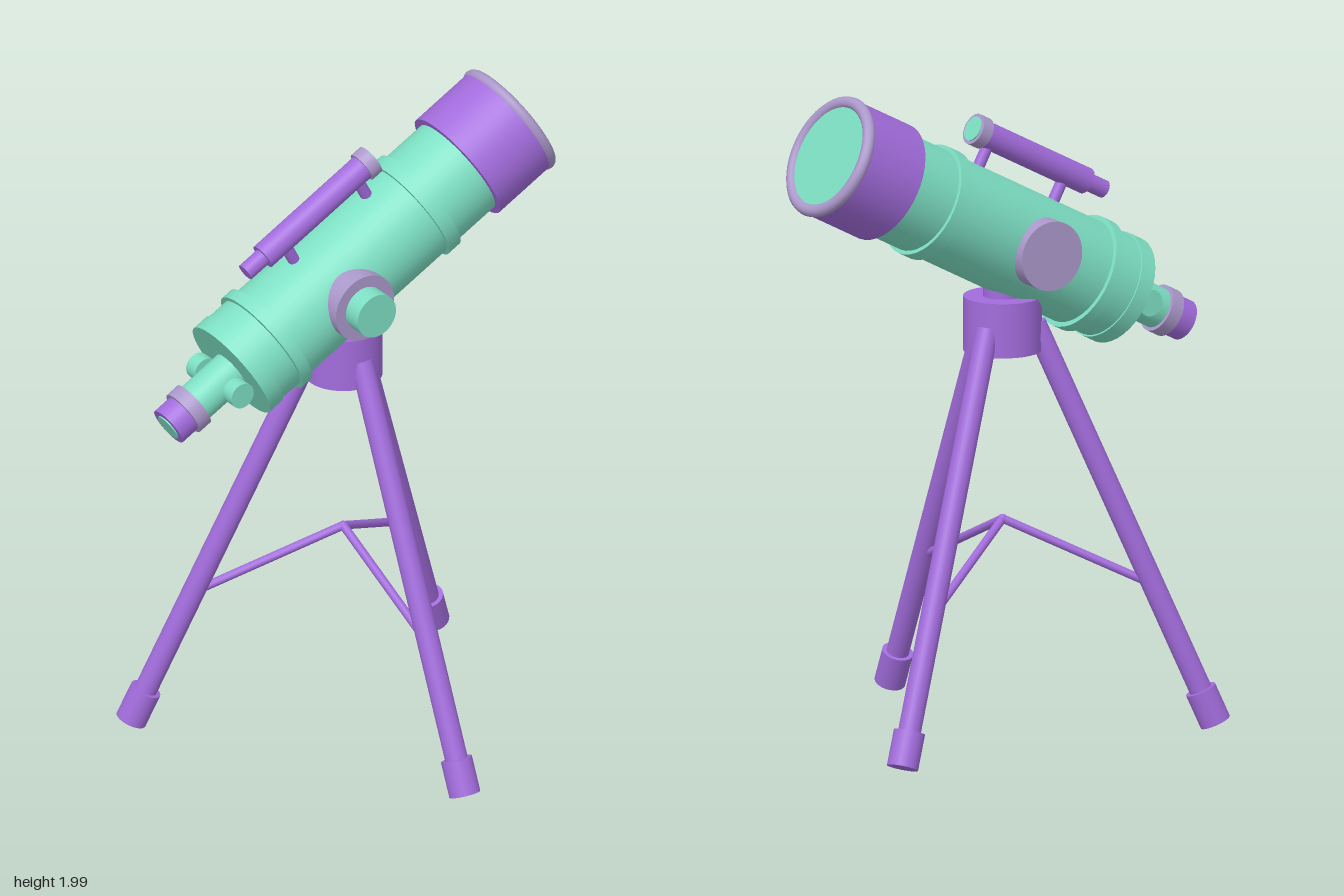
import * as THREE from 'three';

const mat = (name, color) => Object.assign(new THREE.MeshStandardMaterial({ color }), { name });

export function createModel() {
  const teal = mat('mint green', 0x7ddfc3);
  const purple = mat('purple', 0xa26cdc);
  const lavender = mat('pale lavender', 0xab98cb);
  const model = new THREE.Group();
  model.name = 'telescope';

  const add = (parent, name, geometry, material) => {
    const mesh = new THREE.Mesh(geometry, material);
    mesh.name = name;
    parent.add(mesh);
    return mesh;
  };
  // Closed cylinder between two points
  const rod = (parent, name, a, b, radius, material, sides = 32) => {
    const start = new THREE.Vector3(...a), end = new THREE.Vector3(...b);
    const dir = end.clone().sub(start);
    const mesh = add(parent, name, new THREE.CylinderGeometry(radius, radius, dir.length(), sides), material);
    mesh.position.copy(start).add(end).multiplyScalar(0.5);
    mesh.quaternion.setFromUnitVectors(new THREE.Vector3(0, 1, 0), dir.normalize());
    return mesh;
  };

  // Tripod, centred under the hub
  const tripod = new THREE.Group();
  tripod.name = 'tripod';
  tripod.position.set(-0.025, 0, -0.157);
  model.add(tripod);
  rod(tripod, 'hub', [0, 1.16, 0], [0, 1.325, 0], 0.117, purple);
  rod(tripod, 'mountPost', [0, 1.3, 0], [0, 1.42, 0], 0.058, purple);
  const footR = 0.63, footY = 0.02, topR = 0.095, topY = 1.24;
  for (let i = 0; i < 3; i++) {
    const angle = Math.PI / 2 + i * Math.PI * 2 / 3;
    // Point on the leg's centre line, t = 0 at the foot and 1 at the hub
    const onLeg = (t) => {
      const r = footR + (topR - footR) * t;
      return [r * Math.cos(angle), footY + (topY - footY) * t, r * Math.sin(angle)];
    };
    rod(tripod, 'leg', onLeg(0.02), onLeg(1), 0.034, purple, 24);
    rod(tripod, 'foot', onLeg(0), onLeg(0.082), 0.047, purple, 24);
    rod(tripod, 'brace', [0, 0.645, 0], onLeg(0.345), 0.013, purple, 12);
  }
  add(tripod, 'braceJoint', new THREE.SphereGeometry(0.014, 12, 8), purple).position.y = 0.645;

  // Optical assembly: local x runs along the tube, origin at the pivot
  const scope = new THREE.Group();
  scope.name = 'opticalTube';
  scope.position.set(-0.077, 1.476, -0.16);
  scope.rotation.z = THREE.MathUtils.degToRad(28);
  model.add(scope);
  const along = (name, x0, x1, radius, material, y = 0) =>
    rod(scope, name, [x0, y, 0], [x1, y, 0], radius, material, 40);
  const hoop = (name, x, y, radius, thickness) => {
    const mesh = add(scope, name, new THREE.TorusGeometry(radius, thickness, 12, 48), lavender);
    mesh.position.set(x, y, 0);
    mesh.rotation.y = Math.PI / 2;
  };

  along('mainTube', -0.36, 0.54, 0.162, teal);
  along('rearCap', -0.395, -0.343, 0.167, teal);
  along('rearBand', -0.27, -0.233, 0.177, teal);
  along('frontBand', 0.33, 0.376, 0.174, teal);
  along('dewShield', 0.528, 0.742, 0.184, purple);
  along('frontLens', 0.74, 0.748, 0.158, teal);
  hoop('frontRim', 0.74, 0, 0.171, 0.019);

  // Focuser and eyepiece
  along('focuserTube', -0.57, -0.38, 0.062, teal);
  along('eyepieceCollar', -0.592, -0.548, 0.073, lavender);
  along('eyepiece', -0.652, -0.58, 0.062, purple);
  along('eyepieceLens', -0.656, -0.65, 0.042, teal);
  rod(scope, 'focusShaft', [-0.442, 0, -0.1], [-0.442, 0, 0.1], 0.015, teal, 16);
  for (const side of [-1, 1]) {
    rod(scope, 'focusKnob', [-0.442, 0, side * 0.072], [-0.442, 0, side * 0.118], 0.04, teal, 24);
  }

  // Tilt pivot with a locking knob on the front side only
  rod(scope, 'pivotDisc', [0, 0, -0.191], [0, 0, 0.191], 0.105, lavender, 40);
  rod(scope, 'lockingKnob', [0, 0, 0.19], [0, 0, 0.252], 0.069, teal);

  // Finder scope on two posts
  const finderY = 0.253;
  along('finderTube', -0.133, 0.29, 0.04, purple, finderY);
  along('finderEyepiece', -0.204, -0.13, 0.027, purple, finderY);
  along('finderRim', 0.272, 0.31, 0.048, lavender, finderY);
  along('finderLens', 0.308, 0.314, 0.038, teal, finderY);
  for (const x of [-0.055, 0.24]) {
    rod(scope, 'finderPost', [x, 0.15, 0], [x, finderY, 0], 0.018, purple, 16);
  }
  return model;
}
